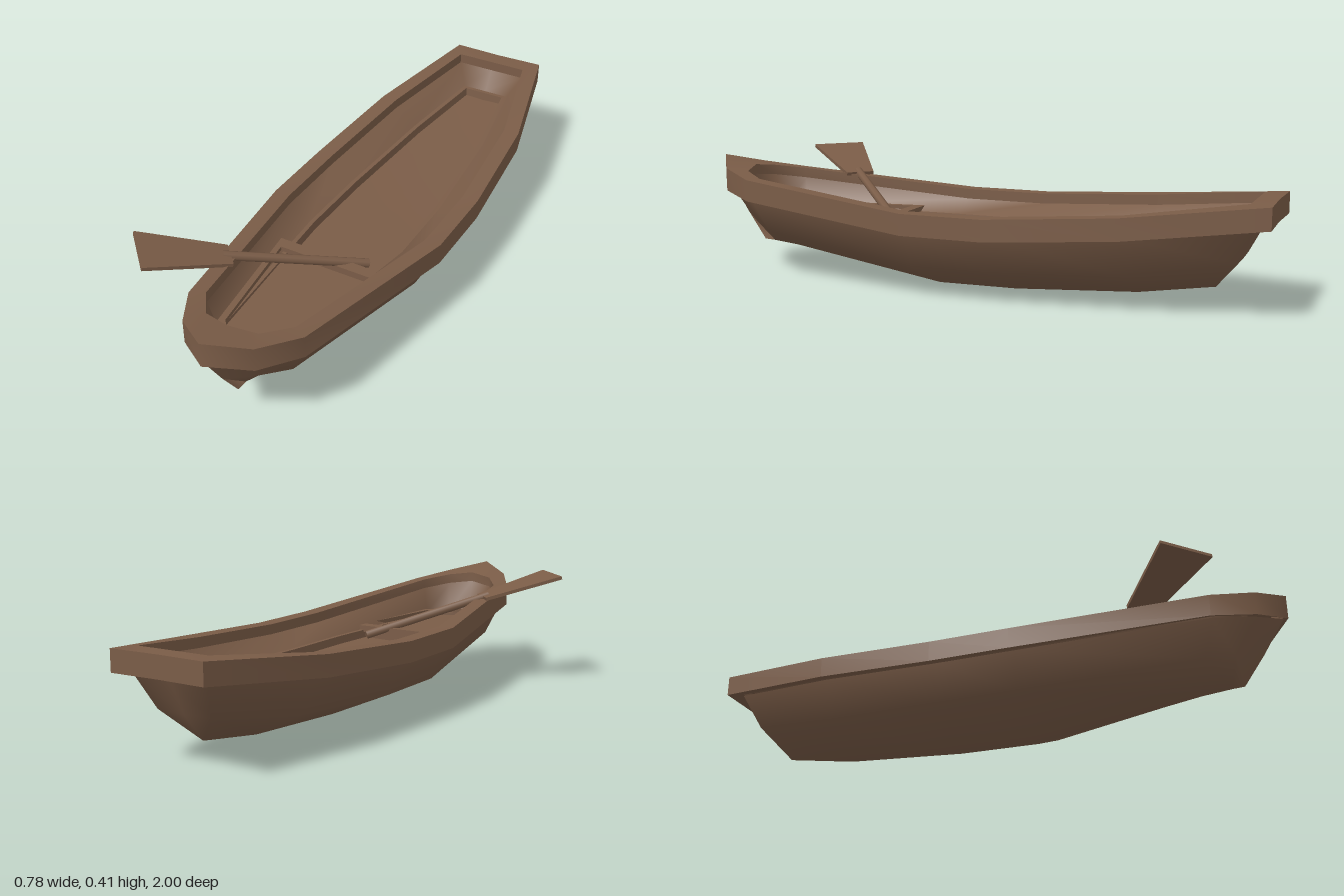
import * as THREE from 'three';
import { mergeVertices, toCreasedNormals } from 'three/addons/utils/BufferGeometryUtils.js';

// Closed ring from a half outline [x, y, z] running stern centre to bow
const ring = half => [...half, ...half.slice(1, -1).reverse().map(([x, y, z]) => [-x, y, z])];

// Skin between successive rings of equal length; crease 0 means fully smooth
function loft(halves, crease = 0) {
  const rings = halves.map(ring), n = rings[0].length, index = [];
  for (let r = 0; r < rings.length - 1; r++) {
    for (let i = 0; i < n; i++) {
      const a = r * n + i, b = r * n + (i + 1) % n, c = a + n, d = b + n;
      index.push(a, b, c, b, d, c);
    }
  }
  let g = new THREE.BufferGeometry();
  g.setAttribute('position', new THREE.Float32BufferAttribute(rings.flat(2), 3));
  g.setIndex(index);
  g = mergeVertices(g, 1e-5);
  if (crease) return toCreasedNormals(g, crease);
  g.computeVertexNormals();
  return g;
}

// Flat symmetric slab: half outline [x, z], optional hole, top height, depth
function slab(half, hole, top, depth) {
  const pts = h => [...h, ...h.slice().reverse().map(([x, z]) => [-x, z])].map(p => new THREE.Vector2(...p));
  const shape = new THREE.Shape(pts(half));
  if (hole) shape.holes.push(new THREE.Path(pts(hole)));
  return new THREE.ExtrudeGeometry(shape, { depth, bevelEnabled: false }).rotateX(Math.PI / 2).translate(0, top, 0);
}

export function createModel() {
  const model = new THREE.Group();
  const wood = new THREE.MeshStandardMaterial({ color: 0x7a5c47, side: THREE.DoubleSide });
  wood.name = 'brown wood';
  const add = (parent, name, geometry) => {
    const mesh = new THREE.Mesh(geometry, wood);
    mesh.name = name;
    parent.add(mesh);
    return mesh;
  };

  const boat = new THREE.Group();
  boat.name = 'boat';
  boat.position.x = 0.08;
  model.add(boat);

  // Hull: sheer line, chine and keel
  const sheer = [[0, .29, -.95], [.14, .29, -.95], [.235, .25, -.56], [.27, .225, -.14],
    [.27, .225, .14], [.175, .275, .78], [.1, .295, .9], [0, .32, .985]];
  const chine = [[0, .165, -.89], [.1, .17, -.89], [.18, .12, -.56], [.225, .1, -.14],
    [.225, .1, .14], [.13, .16, .74], [.07, .18, .83], [0, .2, .91]];
  const keel = [[0, .07, -.81], [0, .07, -.81], [0, .03, -.56], [0, .003, -.14],
    [0, 0, .14], [0, .088, .7], [0, .098, .8], [0, .1, .84]];
  add(boat, 'hull', loft([sheer, chine, keel]));

  // Rim: a thick band running round the top of the hull
  const outer = [[0, .36, -.995], [.17, .36, -1], [.275, .315, -.56], [.31, .288, -.14],
    [.31, .288, .14], [.2, .345, .78], [.12, .37, .915], [0, .403, 1]];
  const inner = [[0, .36, -.93], [.13, .36, -.93], [.22, .315, -.56], [.255, .288, -.14],
    [.255, .288, .14], [.155, .345, .755], [.09, .36, .845], [0, .372, .87]];
  const drop = (half, dy) => half.map(([x, y, z]) => [x, y - dy, z]);
  const outerLow = outer.map(([x, y, z]) => [x, y - .071 - .03 * Math.max(0, z - .7) / .3 * .4, z]);
  const innerLow = drop(inner, .035);
  add(boat, 'rim', loft([innerLow, inner, outer, outerLow, drop(sheer, -.005)], 1.3));

  // Inside walls down to the ledge
  const ledge = [[0, .25, -.89], [.09, .25, -.89], [.14, .225, -.56], [.172, .21, -.14],
    [.175, .21, .14], [.135, .215, .74], [.065, .215, .8], [0, .215, .835]];
  add(boat, 'insideWalls', loft([innerLow, ledge]));

  // Narrow ledge, its step, and the floor
  const inset = (half, d, dy) => half.map(([x, y, z], i) =>
    [Math.max(0, x - d), y - dy, z + (i < 2 ? d : i > 5 ? -d : 0)]);
  const lip = inset(ledge, .015, 0), foot = inset(ledge, .018, .028);
  add(boat, 'floorLedge', loft([ledge, lip, foot], .6));
  add(boat, 'floor', loft([foot, foot.map(([x, y, z]) => [0, y - .004, z])]));

  // Bow floor panel with a raised frame and a cross bar
  const frame = [[.195, .29], [.14, .73], [.07, .805], [0.001, .84]];
  const opening = [[.17, .33], [.12, .72], [.06, .785], [0.001, .815]];
  add(boat, 'bowFrame', slab(frame.slice(), opening, .228, .025));
  add(boat, 'bowPanel', slab([[.18, .3], [.13, .72], [.06, .79], [0.001, .82]], null, .205, .03));

  // Oar, built along its own -x axis with the blade joint at the origin
  const oar = new THREE.Group();
  oar.name = 'oar';
  const joint = new THREE.Vector3(-.13, .33, .56), end = new THREE.Vector3(.185, .205, .24);
  const along = end.clone().sub(joint);
  const length = along.length();
  along.normalize();
  const across = new THREE.Vector3(0, 1, 0).cross(along).normalize();
  const up = along.clone().cross(across);
  oar.quaternion.setFromRotationMatrix(new THREE.Matrix4().makeBasis(along, up, across.negate()));
  oar.quaternion.setFromRotationMatrix(new THREE.Matrix4().makeBasis(along, up, along.clone().cross(up)));
  oar.position.copy(joint);
  model.add(oar);

  add(oar, 'oarShaft', new THREE.CylinderGeometry(.015, .015, length + .02, 8)
    .rotateZ(Math.PI / 2).translate(length / 2 - .01, 0, 0));
  const blade = new THREE.Shape([[-.283, -.095], [.005, -.05], [.005, .05], [-.283, .095]]
    .map(p => new THREE.Vector2(...p)));
  add(oar, 'oarBlade', new THREE.ExtrudeGeometry(blade, { depth: .012, bevelEnabled: false })
    .rotateX(Math.PI / 2).translate(0, .006, 0));
  return model;
}
